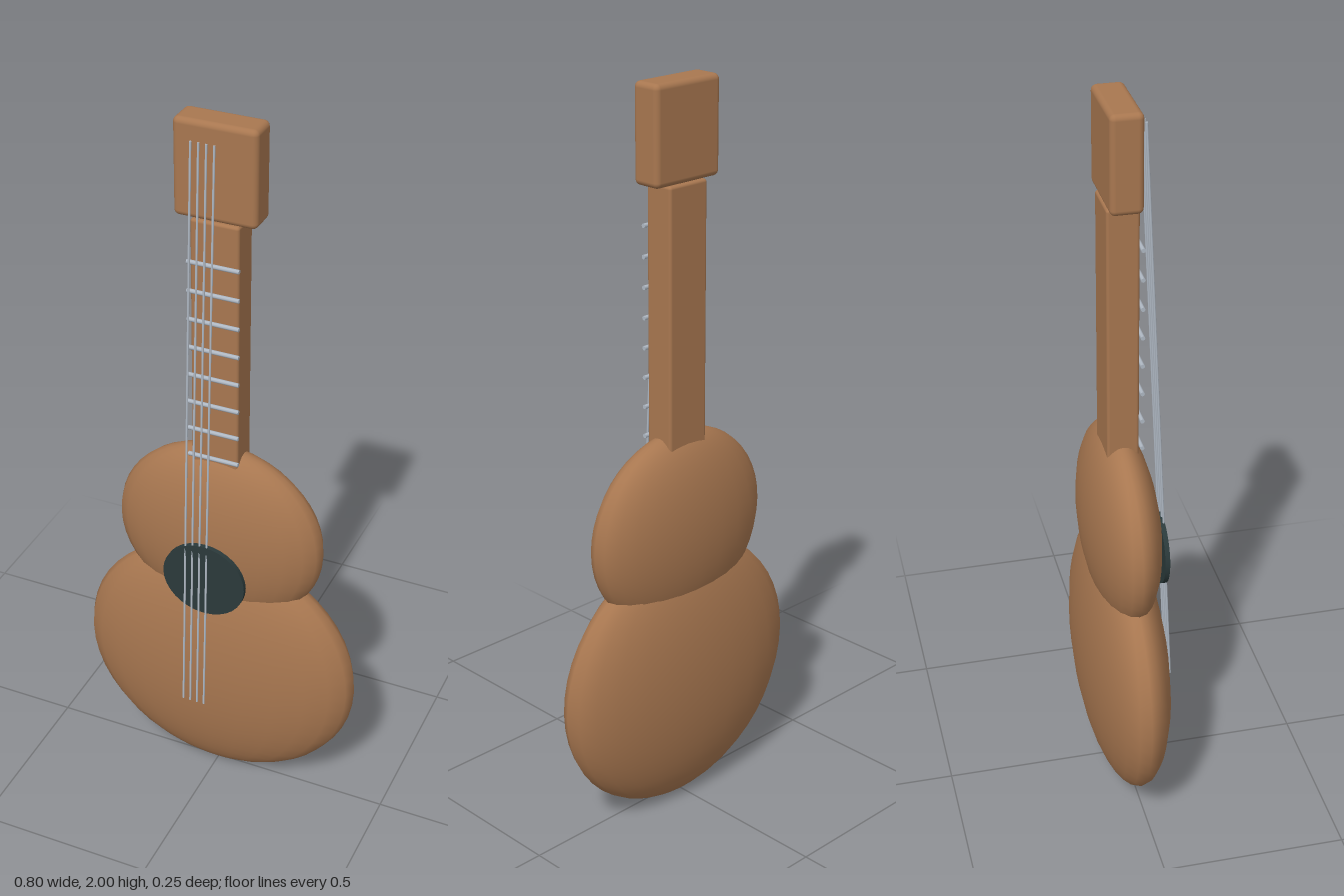
import * as THREE from 'three';
import { RoundedBoxGeometry } from 'three/addons/geometries/RoundedBoxGeometry.js';

export function createModel() {
  const group = new THREE.Group();
  const material = (name, color) => {
    const m = new THREE.MeshStandardMaterial({ color });
    m.name = name;
    return m;
  };
  const wood = material('wood', 0xa87750);
  const dark = material('dark hole', 0x2b3a3b);
  const metal = material('metal', 0xb0b9c4);
  const midZ = -0.012;

  const add = (name, geometry, mat, x, y, z) => {
    const mesh = new THREE.Mesh(geometry, mat);
    mesh.name = name;
    mesh.position.set(x, y, z);
    group.add(mesh);
    return mesh;
  };

  // Body: two flattened, overlapping ellipsoids
  add('lowerBody', new THREE.SphereGeometry(1, 24, 24), wood, 0, 0.377, midZ).scale.set(0.4, 0.375, 0.113);
  add('upperBody', new THREE.SphereGeometry(1, 24, 24), wood, 0, 0.81, midZ).scale.set(0.295, 0.272, 0.098);

  // Sound hole disc, slightly wider than tall
  const hole = new THREE.CylinderGeometry(1, 1, 0.013, 32).rotateX(Math.PI / 2);
  add('soundHole', hole, dark, 0, 0.72, 0.0975).scale.set(0.118, 0.11, 1);

  // Neck and headstock
  add('neck', new RoundedBoxGeometry(0.13, 0.715, 0.084, 3, 0.008), wood, 0, 1.3875, midZ);
  add('headstock', new RoundedBoxGeometry(0.22, 0.255, 0.084, 3, 0.015), wood, 0, 1.8725, midZ);

  // Frets across the front of the neck
  const fret = new THREE.CylinderGeometry(0.006, 0.006, 0.14, 8).rotateZ(Math.PI / 2);
  for (let i = 0; i < 8; i++) add('fret', fret, metal, 0, 1.07 + i * 0.0803, 0.037);

  // Strings lean back from the lower body to the headstock
  const low = new THREE.Vector3(0, 0.305, 0.125);
  const high = new THREE.Vector3(0, 1.955, 0.047);
  const span = high.clone().sub(low);
  const string = new THREE.CylinderGeometry(0.003, 0.003, span.length(), 8);
  const mid = low.clone().add(high).multiplyScalar(0.5);
  for (let i = 0; i < 4; i++) {
    const mesh = add('string', string, metal, -0.053 + i * 0.0205, mid.y, mid.z);
    mesh.rotation.x = Math.atan2(span.z, span.y);
  }
  return group;
}
